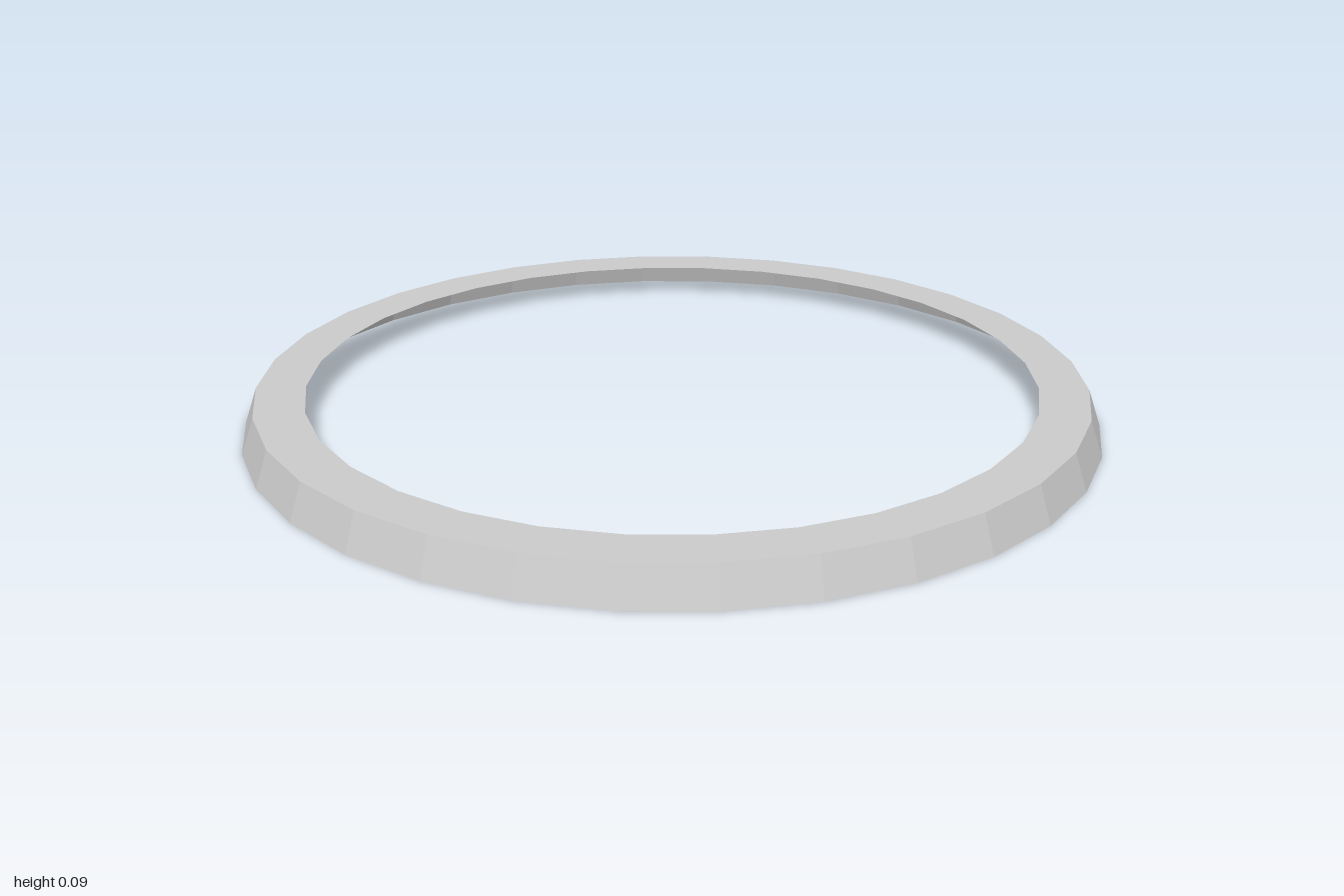
import * as THREE from 'three';

export function createModel() {
  const group = new THREE.Group();
  group.name = 'ring';
  const material = new THREE.MeshStandardMaterial({
    color: 0xcccccc, flatShading: true, side: THREE.DoubleSide,
  });
  const sides = 32, height = 0.085;
  const baseRadius = 1, topRadius = 0.97, holeRadius = 0.855;

  // Each part is a thin band swept around the vertical axis
  function addBand(name, start, end) {
    const profile = [new THREE.Vector2(...start), new THREE.Vector2(...end)];
    const mesh = new THREE.Mesh(new THREE.LatheGeometry(profile, sides), material);
    mesh.name = name;
    group.add(mesh);
  }

  // Sloping outer skirt, open underneath
  addBand('outerSkirt', [baseRadius, 0], [topRadius, height]);
  // Flat rim around the central hole
  addBand('topRim', [topRadius, height], [holeRadius, height]);

  return group;
}
